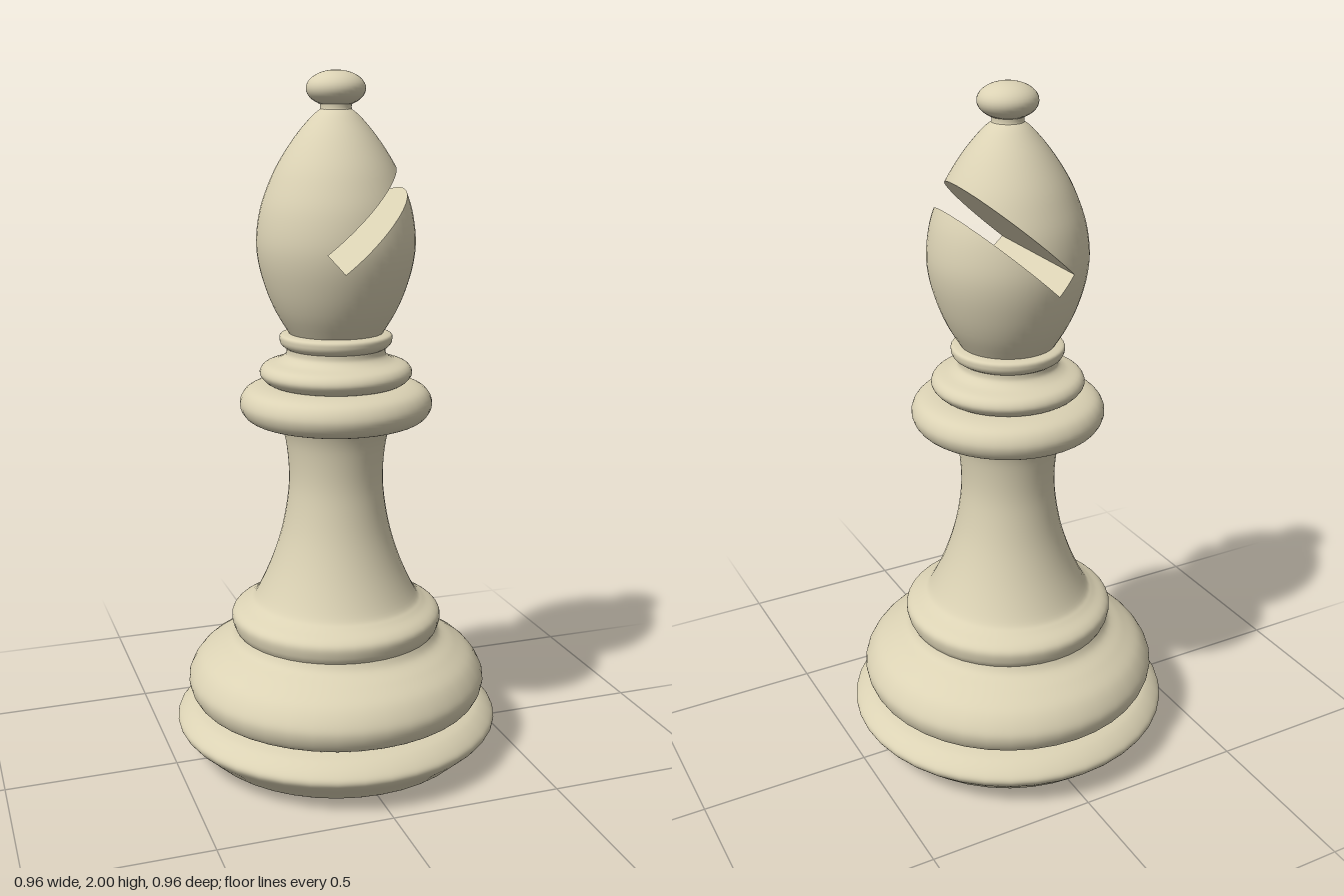
import * as THREE from 'three';

const ivory = new THREE.MeshStandardMaterial({ color: 0xdbd2b4 });
ivory.name = 'ivory';

// Smooth profile through [radius, height] points, bottom to top
const profile = (pts, n) =>
  new THREE.SplineCurve(pts.map(([r, y]) => new THREE.Vector2(r, y))).getPoints(n);

function addMesh(group, name, geometry) {
  const mesh = new THREE.Mesh(geometry, ivory);
  mesh.name = name;
  group.add(mesh);
}

// Slot frame: s runs along the cut, h across it
const ANGLE = THREE.MathUtils.degToRad(42);
const CO = Math.cos(ANGLE), SI = Math.sin(ANGLE);
const H_LOW = 1.116, H_HIGH = 1.188, S_FLOOR = 0.947;
const along = (v) => v[0] * CO + v[1] * SI;
const across = (v) => -v[0] * SI + v[1] * CO;
const toXY = (s, h) => [s * CO - h * SI, s * SI + h * CO];

// Keep the part of a polygon where f >= 0; vertices hold position and normal
function clip(poly, f) {
  const out = [];
  poly.forEach((a, i) => {
    const b = poly[(i + 1) % poly.length], fa = f(a), fb = f(b);
    if (fa >= 0) out.push(a);
    if (fa * fb < 0) out.push(a.map((v, k) => v + (b[k] - v) * fa / (fa - fb)));
  });
  return out;
}

// Head surface with the slot removed
function slottedShell(points) {
  const src = new THREE.LatheGeometry(points, 48).toNonIndexed();
  const P = src.attributes.position, N = src.attributes.normal;
  const pos = [], nor = [];
  const emit = (poly) => {
    for (let i = 1; i < poly.length - 1; i++) {
      for (const v of [poly[0], poly[i], poly[i + 1]]) {
        pos.push(v[0], v[1], v[2]);
        nor.push(v[3], v[4], v[5]);
      }
    }
  };
  for (let i = 0; i < P.count; i += 3) {
    const tri = [i, i + 1, i + 2].map((k) =>
      [P.getX(k), P.getY(k), P.getZ(k), N.getX(k), N.getY(k), N.getZ(k)]);
    emit(clip(tri, (v) => H_LOW - across(v)));
    emit(clip(tri, (v) => across(v) - H_HIGH));
    const band = clip(clip(tri, (v) => across(v) - H_LOW), (v) => H_HIGH - across(v));
    emit(clip(band, (v) => S_FLOOR - along(v)));
  }
  const g = new THREE.BufferGeometry();
  g.setAttribute('position', new THREE.Float32BufferAttribute(pos, 3));
  g.setAttribute('normal', new THREE.Float32BufferAttribute(nor, 3));
  return g;
}

// Flat slot wall between two (s, h) points, as wide as the head allows
function slotWall(halfWidth, from, to, steps = 28) {
  const pos = [];
  const row = (i) => {
    const t = (1 - Math.cos(Math.PI * i / steps)) / 2;
    const [x, y] = toXY(from[0] + (to[0] - from[0]) * t, from[1] + (to[1] - from[1]) * t);
    const w = Math.sqrt(Math.max(0, halfWidth(x, y)));
    return [[x, y, -w], [x, y, w]];
  };
  for (let i = 0; i < steps; i++) {
    const [a, b] = row(i), [c, d] = row(i + 1);
    pos.push(...a, ...b, ...c, ...b, ...d, ...c);
  }
  const g = new THREE.BufferGeometry();
  g.setAttribute('position', new THREE.Float32BufferAttribute(pos, 3));
  g.computeVertexNormals();
  return g;
}

export function createModel() {
  const model = new THREE.Group();
  model.name = 'bishop';

  // Turned parts, each ending at a crisp groove
  const turned = {
    foot: [[0.37, 0.005], [0.4, 0.018], [0.435, 0.05], [0.472, 0.085], [0.481, 0.108],
      [0.465, 0.13], [0.435, 0.15], [0.4, 0.16]],
    baseBulb: [[0.4, 0.16], [0.428, 0.178], [0.444, 0.215], [0.44, 0.25], [0.41, 0.295],
      [0.36, 0.33], [0.315, 0.355], [0.298, 0.38]],
    stem: [[0.298, 0.375], [0.308, 0.395], [0.312, 0.425], [0.298, 0.445], [0.262, 0.465],
      [0.237, 0.49], [0.195, 0.58], [0.162, 0.68], [0.143, 0.78], [0.138, 0.86],
      [0.146, 0.95], [0.162, 1.005], [0.175, 1.015]],
    collarRing: [[0.15, 1.008], [0.22, 1.012], [0.262, 1.03], [0.279, 1.068],
      [0.262, 1.105], [0.22, 1.122], [0.15, 1.126]],
    upperRing: [[0.17, 1.12], [0.2, 1.13], [0.22, 1.155], [0.207, 1.18], [0.165, 1.195],
      [0.145, 1.21], [0.142, 1.228]],
    neckBead: [[0.138, 1.226], [0.155, 1.237], [0.162, 1.252], [0.158, 1.268], [0.125, 1.274]],
    finialNeck: [[0.05, 1.885], [0.044, 1.895], [0.044, 1.91]],
  };
  for (const [name, pts] of Object.entries(turned)) {
    addMesh(model, name, new THREE.LatheGeometry(profile(pts, pts.length * 5), 40));
  }

  // Underside
  const underside = new THREE.CircleGeometry(0.37, 40).rotateX(Math.PI / 2);
  addMesh(model, 'underside', underside.translate(0, 0.005, 0));
  addMesh(model, 'footRim', new THREE.CylinderGeometry(0.36, 0.35, 0.01, 40).translate(0, 0.005, 0));

  // Head with its diagonal slot
  const head = new THREE.Group();
  head.name = 'head';
  model.add(head);
  const pts = profile([[0.135, 1.272], [0.17, 1.33], [0.198, 1.395], [0.219, 1.47], [0.225, 1.54],
    [0.214, 1.62], [0.19, 1.69], [0.16, 1.752], [0.115, 1.82], [0.068, 1.875], [0.04, 1.897]], 40);
  addMesh(head, 'headShell', slottedShell(pts));

  const halfWidth = (x, y) => {
    const i = Math.max(1, pts.findIndex((p) => p.y >= y));
    const a = pts[i - 1], b = pts[i];
    const r = a.x + (b.x - a.x) * (y - a.y) / (b.y - a.y);
    return r * r - x * x;
  };
  // Where the slot leaves the head at a given h
  const exit = (h) => {
    let s = S_FLOOR;
    while (halfWidth(...toXY(s, h)) > 0) s += 0.0005;
    return s;
  };
  addMesh(head, 'slotLowerWall', slotWall(halfWidth, [S_FLOOR, H_LOW], [exit(H_LOW), H_LOW]));
  addMesh(head, 'slotFloor', slotWall(halfWidth, [S_FLOOR, H_HIGH], [S_FLOOR, H_LOW]));
  addMesh(head, 'slotUpperWall', slotWall(halfWidth, [exit(H_HIGH), H_HIGH], [S_FLOOR, H_HIGH]));

  // Finial
  const finial = new THREE.SphereGeometry(0.083, 32, 20).scale(1, 0.6, 1);
  addMesh(model, 'finial', finial.translate(0, 1.95, 0));

  return model;
}
